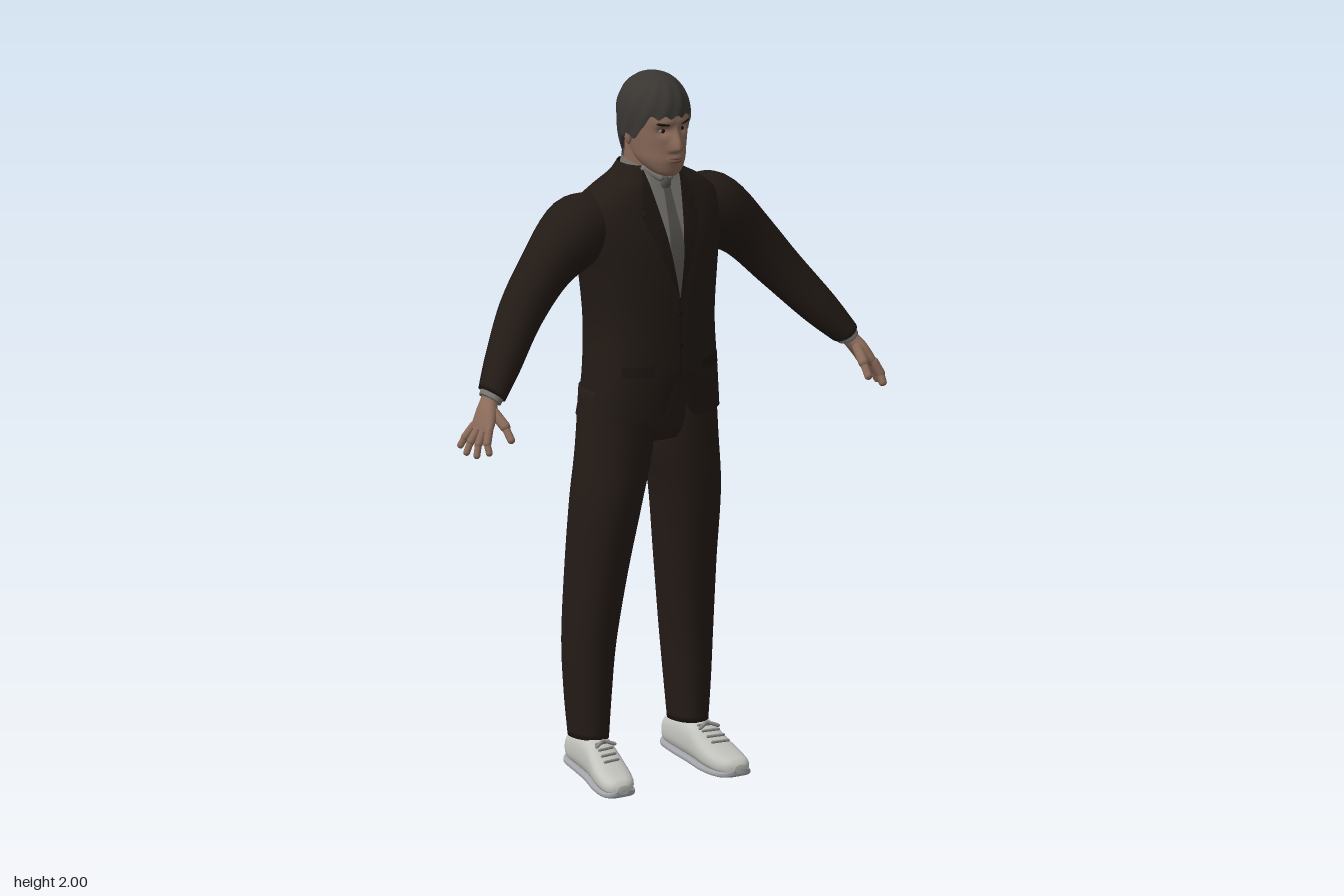
import * as THREE from 'three';

const mat = (color) => new THREE.MeshStandardMaterial({ color, side: THREE.DoubleSide, roughness: 0.9 });
const SUIT = mat(0x221a15), TROUSERS = mat(0x241b16), LAPEL = mat(0x1d1612), SHIRT = mat(0x77746f), TIE = mat(0x56534f);
const SKIN = mat(0x8b6b5a), LIP = mat(0x6d4b42), HAIR = mat(0x393632), DARK = mat(0x15110f), EYE = mat(0x8f8b86);
const SHOE = mat(0xc6c6c1), SOLE = mat(0xa3a5aa), LACE = mat(0x8d8d8a);

function add(parent, name, geometry, material) {
  const m = new THREE.Mesh(geometry, material);
  m.name = name;
  parent.add(m);
  return m;
}

// Surface from rows of points; closed rows wrap around
function skin(rows, closed) {
  const n = rows[0].length, index = [];
  for (let j = 0; j < rows.length - 1; j++) {
    for (let i = 0; i < (closed ? n : n - 1); i++) {
      const k = (i + 1) % n, a = j * n + i, b = j * n + k;
      index.push(a, a + n, b, b, a + n, b + n);
    }
  }
  const g = new THREE.BufferGeometry();
  g.setAttribute('position', new THREE.Float32BufferAttribute(rows.flat(2), 3));
  g.setIndex(index);
  g.computeVertexNormals();
  return g;
}

// Smooth blend through sections [x, y, z, half width, half depth, tilt about z]
function sectionAt(secs, t) {
  const i = Math.min(Math.floor(t), secs.length - 2), f = t - i;
  const at = (k) => secs[Math.max(0, Math.min(secs.length - 1, k))];
  return [0, 1, 2, 3, 4, 5].map((c) => {
    const [a, b, d, e] = [at(i - 1), at(i), at(i + 1), at(i + 2)].map((s) => s[c] || 0);
    const m0 = (d - a) / 2, m1 = (e - b) / 2;
    return b + f * (m0 + f * (3 * (d - b) - 2 * m0 - m1 + f * (2 * (b - d) + m0 + m1)));
  });
}

// Loft from the lowest section to the highest
function loft(secs, { seg = 32, steps = 5, power = 2, caps = true, warp = (p) => p } = {}) {
  const rows = [], count = (secs.length - 1) * steps;
  const sp = (v) => Math.sign(v) * Math.abs(v) ** (2 / power);
  for (let j = 0; j <= count; j++) {
    const [x, y, z, a, b, tilt] = sectionAt(secs, j / steps);
    rows.push(Array.from({ length: seg }, (_, i) => {
      const th = (i / seg) * Math.PI * 2, u = a * sp(Math.cos(th));
      return warp([x + u * Math.cos(tilt), y + u * Math.sin(tilt), z + b * sp(Math.sin(th))]);
    }));
  }
  if (caps) {
    const centre = (s) => Array.from({ length: seg }, () => warp([s[0], s[1], s[2]]));
    rows.unshift(centre(secs[0]));
    rows.push(centre(secs[secs.length - 1]));
  }
  return skin(rows, true);
}

const bump = (v, c, w) => Math.exp(-(((v - c) / w) ** 2));
const smooth = THREE.MathUtils.smoothstep;

const TORSO = [
  [0, 1.04, -0.035, 0.21, 0.138], [0, 1.15, -0.026, 0.195, 0.14], [0, 1.3, -0.03, 0.185, 0.145],
  [0, 1.45, -0.035, 0.2, 0.145], [0, 1.55, -0.041, 0.218, 0.137], [0, 1.63, -0.048, 0.22, 0.118],
  [0, 1.68, -0.042, 0.17, 0.094], [0, 1.715, -0.04, 0.108, 0.08], [0, 1.745, -0.04, 0.08, 0.07],
];

// Front of the jacket at a given x and y
function frontZ(x, y) {
  let lo = 0, hi = TORSO.length - 1;
  for (let i = 0; i < 24; i++) {
    const mid = (lo + hi) / 2;
    if (sectionAt(TORSO, mid)[1] < y) lo = mid; else hi = mid;
  }
  const [, , z, a, b] = sectionAt(TORSO, lo);
  return z + b * Math.max(0, 1 - Math.abs(x / a) ** 2.4) ** (1 / 2.4);
}

// Cloth panel lying on the jacket front between edges left(y) and right(y)
function panel(y0, y1, left, right, lift, nu = 8, nv = 24) {
  const rows = [];
  for (let j = 0; j <= nv; j++) {
    const y = y0 + ((y1 - y0) * j) / nv, row = [];
    for (let i = 0; i <= nu; i++) {
      const x = left(y) + ((right(y) - left(y)) * i) / nu;
      row.push([x, y, frontZ(x, y) + lift]);
    }
    rows.push(row);
  }
  return skin(rows, false);
}

// Rounded segment between two points
function segment(parent, name, a, b, r, material) {
  const p = new THREE.Vector3(...a), q = new THREE.Vector3(...b), d = q.clone().sub(p);
  const m = add(parent, name, new THREE.CapsuleGeometry(r, d.length(), 5, 10), material);
  m.position.copy(p).add(q).multiplyScalar(0.5);
  m.quaternion.setFromUnitVectors(new THREE.Vector3(0, 1, 0), d.normalize());
}

function ball(parent, name, pos, size, material) {
  const m = add(parent, name, new THREE.SphereGeometry(1, 20, 14), material);
  m.position.set(...pos);
  m.scale.set(...size);
  return m;
}

function buildJacket(root) {
  // Body, with the front hem cut away at the middle
  const hem = ([x, y, z]) => [x, z > 0 && y < 1.17 ? y + 0.1 * bump(x, 0, 0.032) * ((1.17 - y) / 0.13) : y, z];
  add(root, 'jacketBody', loft(TORSO, { seg: 96, power: 2.4, caps: false, warp: hem }), SUIT);
  // Shirt front, tie and lapels
  const vee = (y) => 0.056 * Math.max(0, (y - 1.38) / 0.34);
  add(root, 'shirtFront', panel(1.38, 1.735, vee, (y) => -vee(y), 0.003), SHIRT);
  const tie = (y) => Math.min(vee(y), 0.012 + 0.012 * smooth(1.69 - y, 0, 0.2));
  add(root, 'tie', panel(1.385, 1.69, tie, (y) => -tie(y), 0.007), TIE);
  ball(root, 'tieKnot', [0, 1.695, frontZ(0, 1.695) + 0.004], [0.017, 0.02, 0.01], TIE);
  for (const s of [1, -1]) {
    const outer = (y) => vee(y) + (y < 1.62 ? 0.06 * ((y - 1.38) / 0.24) : y < 1.635 ? 0.04 : 0.05 * (1.74 - y) / 0.1);
    const edges = [(y) => s * outer(y), (y) => s * vee(y)];
    add(root, 'lapel', panel(1.38, 1.735, ...(s > 0 ? edges : edges.reverse()), 0.007, 4, 48), LAPEL);
    add(root, 'pocketFlap', panel(1.17, 1.2, () => s * 0.12 + 0.04, () => s * 0.12 - 0.04, 0.004, 6, 2), LAPEL);
    segment(root, 'shirtCollarWing', [s * 0.016, 1.712, 0.048], [s * 0.05, 1.735, 0.018], 0.011, SHIRT);
  }
  add(root, 'frontEdge', panel(1.15, 1.385, () => 0.006, () => -0.002, 0.003, 2), LAPEL);
  for (const y of [1.34, 1.25]) ball(root, 'button', [0.002, y, frontZ(0, y) + 0.004], [0.008, 0.008, 0.004], DARK);
  // Shirt collar, higher at the nape
  const slope = ([x, y, z]) => [x, y - 0.25 * (z + 0.04), z];
  add(root, 'shirtCollar', loft([[0, 1.7, -0.038, 0.08, 0.076], [0, 1.735, -0.036, 0.075, 0.073],
    [0, 1.757, -0.036, 0.071, 0.069]], { caps: false, warp: slope }), SHIRT);
}

function buildArm(side) {
  add(side, 'sleeve', loft([
    [0.592, 1.188, 0.06, 0.038, 0.046, 0.64], [0.53, 1.262, 0.025, 0.053, 0.055, 0.68],
    [0.434, 1.376, -0.025, 0.065, 0.064, 0.64], [0.335, 1.485, -0.045, 0.077, 0.073, 0.75],
    [0.237, 1.565, -0.055, 0.1, 0.095, 1.25], [0.15, 1.585, -0.055, 0.088, 0.085, 1.45]]), SUIT);
  add(side, 'shirtCuff', loft([[0.601, 1.175, 0.064, 0.03, 0.038, 0.64], [0.585, 1.196, 0.057, 0.032, 0.04, 0.64]]), SHIRT);
  // Hand
  add(side, 'palm', loft([
    [0.652, 1.098, 0.09, 0.011, 0.042, 0.5], [0.642, 1.115, 0.089, 0.016, 0.045, 0.5],
    [0.622, 1.148, 0.08, 0.021, 0.038, 0.55], [0.605, 1.172, 0.067, 0.021, 0.029, 0.6],
    [0.593, 1.19, 0.06, 0.022, 0.028, 0.6]], { power: 2.3 }), SKIN);
  [[0.053, 0.045, 0.686, 1.056], [0.078, 0.079, 0.69, 1.043], [0.103, 0.116, 0.682, 1.04], [0.126, 0.148, 0.663, 1.051]]
    .forEach(([z0, z1, x, y]) => {
      const knuckle = [0.648, 1.108, z0], mid = [x * 0.5 + 0.331, y * 0.5 + 0.55, (z0 + z1) / 2];
      segment(side, 'finger', knuckle, mid, 0.0115, SKIN);
      segment(side, 'finger', mid, [x, y, z1], 0.0095, SKIN);
    });
  segment(side, 'thumb', [0.612, 1.15, 0.095], [0.603, 1.115, 0.138], 0.015, SKIN);
  segment(side, 'thumb', [0.603, 1.115, 0.138], [0.601, 1.082, 0.164], 0.011, SKIN);
}

function buildLeg(side) {
  add(side, 'trouserLeg', loft([
    [0.167, 0.13, -0.08, 0.049, 0.066], [0.167, 0.25, -0.083, 0.059, 0.074], [0.163, 0.4, -0.083, 0.069, 0.083],
    [0.149, 0.6, -0.068, 0.079, 0.097], [0.132, 0.8, -0.046, 0.093, 0.108],
    [0.11, 0.95, -0.039, 0.104, 0.107], [0.102, 1.12, -0.038, 0.1, 0.107]], { power: 2.15 }), TROUSERS);
  // Shoe sections from heel to toe: z, x, half width, bottom, top
  const shoe = [
    [-0.153, 0.162, 0.022, 0.06, 0.105], [-0.14, 0.163, 0.04, 0.048, 0.135], [-0.08, 0.166, 0.046, 0.036, 0.15],
    [-0.02, 0.172, 0.048, 0.024, 0.135], [0.04, 0.181, 0.055, 0.012, 0.092], [0.09, 0.19, 0.052, 0.005, 0.062],
    [0.118, 0.195, 0.038, 0.005, 0.048], [0.13, 0.197, 0.018, 0.01, 0.035]];
  const along = (bottom, top, grow) => shoe.map((s) => [s[1], s[0], -(bottom(s) + top(s)) / 2, s[2] + grow, (top(s) - bottom(s)) / 2]);
  const upper = loft(along((s) => s[3], (s) => s[4], 0), { power: 2.5 }).rotateX(Math.PI / 2);
  add(side, 'shoeUpper', upper, SHOE);
  const sole = loft(along((s) => s[3] - 0.004, (s) => s[3] + 0.014, 0.004), { power: 4 }).rotateX(Math.PI / 2);
  add(side, 'shoeSole', sole, SOLE);
  // Laces
  for (let i = 0; i < 4; i++) {
    const z = -0.005 + i * 0.018, y = 0.13 - i * 0.0125, x = 0.174 + i * 0.003;
    segment(side, 'lace', [x - 0.024, y - 0.004, z], [x + 0.024, y - 0.004, z + 0.006], 0.004, LACE);
  }
  for (const d of [-1, 1]) segment(side, 'laceBow', [0.174, 0.133, 0], [0.174 + d * 0.03, 0.122, 0.012], 0.005, LACE);
}

function buildHead(root) {
  add(root, 'neck', loft([[0, 1.68, -0.038, 0.07, 0.066], [0, 1.75, -0.034, 0.066, 0.064], [0, 1.83, -0.022, 0.068, 0.07]]), SKIN);
  // Face relief: nose, eye sockets, brow and lips
  const relief = ([x, y, z]) => {
    if (z < 0.02) return [x, y, z];
    const nose = 0.024 * bump(x, 0, 0.009 + 0.008 * smooth(1.85 - y, 0, 0.045)) * smooth(1.875 - y, 0, 0.07) * smooth(y, 1.788, 1.802);
    const socket = -0.013 * bump(Math.abs(x), 0.032, 0.018) * bump(y, 1.853, 0.013);
    const mouth = 0.006 * bump(x, 0, 0.025) * bump(y, 1.772, 0.012);
    const brow = 0.004 * bump(Math.abs(x), 0.03, 0.025) * bump(y, 1.878, 0.009);
    return [x, y, z + nose + socket + mouth + brow];
  };
  add(root, 'head', loft([
    [0, 1.722, 0.06, 0.022, 0.024], [0, 1.735, 0.047, 0.043, 0.047], [0, 1.765, 0.022, 0.064, 0.077],
    [0, 1.8, 0.007, 0.073, 0.092], [0, 1.85, 0.001, 0.08, 0.1], [0, 1.9, -0.004, 0.084, 0.102],
    [0, 1.95, -0.008, 0.073, 0.087], [0, 1.985, -0.008, 0.04, 0.045]], { seg: 112, steps: 9, power: 2.15, warp: relief }), SKIN);
  for (const s of [-1, 1]) {
    ball(root, 'eye', [s * 0.032, 1.853, 0.074], [0.014, 0.007, 0.011], EYE);
    ball(root, 'iris', [s * 0.032, 1.853, 0.083], [0.006, 0.006, 0.004], DARK);
    ball(root, 'eyebrow', [s * 0.034, 1.873, 0.09], [0.021, 0.005, 0.007], DARK).rotation.set(0, s * 0.35, s * 0.1);
    ball(root, 'ear', [s * 0.083, 1.835, -0.012], [0.01, 0.03, 0.018], SKIN).rotation.set(-0.2, s * 0.3, 0);
  }
  ball(root, 'upperLip', [0, 1.775, 0.1], [0.022, 0.004, 0.009], LIP);
  ball(root, 'lowerLip', [0, 1.767, 0.099], [0.019, 0.005, 0.009], LIP);
  // Hair: a cap with a ragged fringe, sideburns and a low nape
  const rows = [], seg = 96, nv = 24;
  for (let j = 0; j <= nv; j++) {
    rows.push(Array.from({ length: seg }, (_, i) => {
      const th = (i / seg) * Math.PI * 2, s = Math.sin(th);
      const low = 1.832 + 0.06 * smooth(s, 0.35, 0.72) - 0.065 * smooth(-s, 0.12, 0.6) + 0.005 * Math.sin(th * 17);
      const y = low + (2 - low) * Math.sin(((j / nv) * Math.PI) / 2), d = y - 1.885;
      const r = d > 0 ? Math.sqrt(Math.max(0, 1 - (d / 0.115) ** 2.2)) : 1 - 12 * d * d;
      const k = r * (1 + 0.012 * Math.sin(th * 13 + y * 60));
      return [0.096 * k * Math.cos(th), y, -0.007 + 0.113 * k * s];
    }));
  }
  add(root, 'hair', skin(rows, true), HAIR);
}

export function createModel() {
  const root = new THREE.Group();
  root.name = 'manInSuit';
  buildJacket(root);
  buildHead(root);
  add(root, 'trouserSeat', loft([[0, 0.97, -0.04, 0.15, 0.09], [0, 1.02, -0.04, 0.19, 0.104], [0, 1.16, -0.035, 0.18, 0.105]]), TROUSERS);
  for (const s of [1, -1]) {
    const side = new THREE.Group();
    side.name = s > 0 ? 'leftLimbs' : 'rightLimbs';
    buildArm(side);
    buildLeg(side);
    side.scale.x = s;
    root.add(side);
  }
  return root;
}
